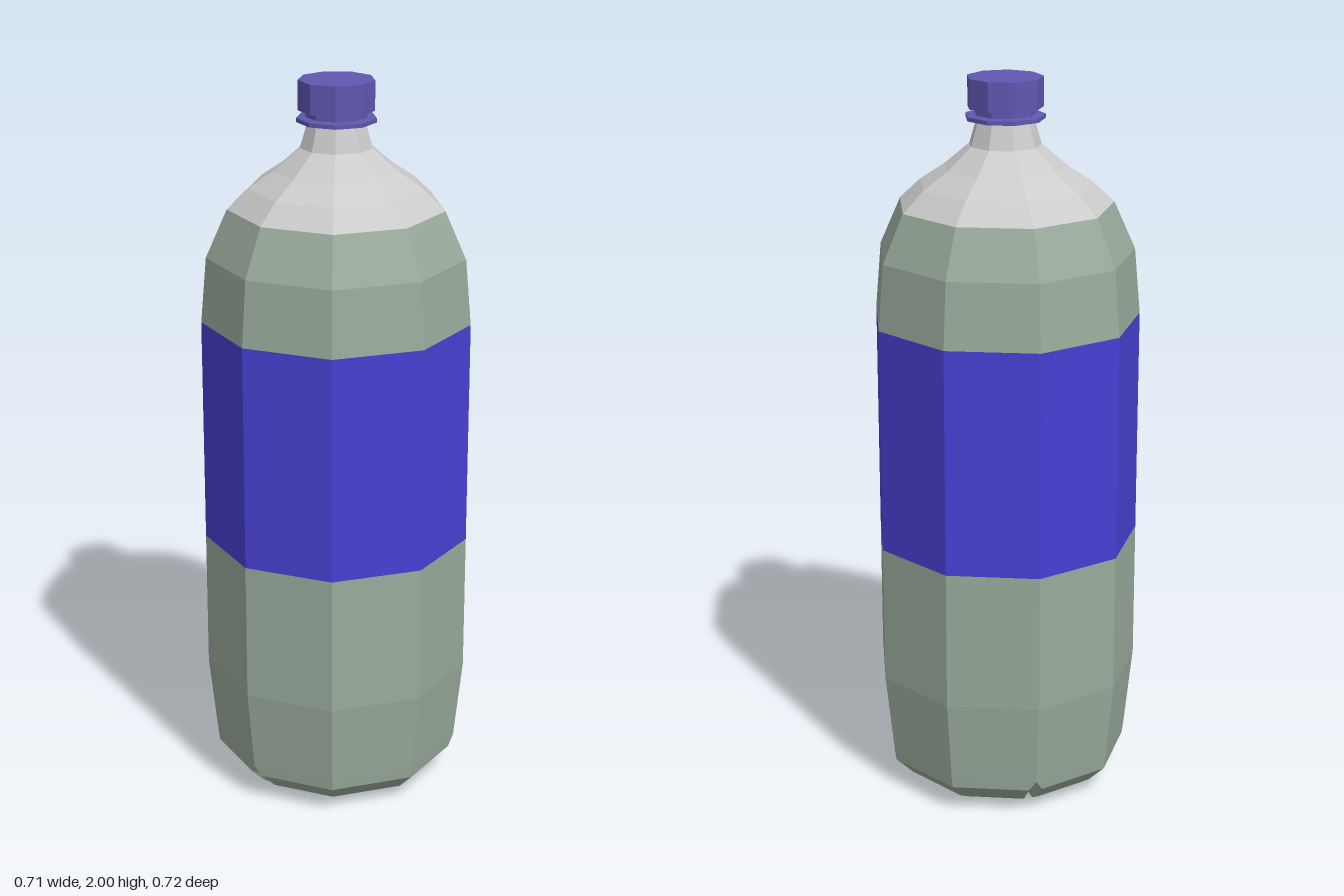
import * as THREE from 'three';

const SIDES = 9, START = -Math.PI / 2, STEP = (Math.PI * 2) / SIDES;

const mat = (color) => new THREE.MeshStandardMaterial({ color, flatShading: true, side: THREE.DoubleSide });

// Nine-sided turned part from [radius, y] pairs, listed bottom to top
function turned(name, profile, material) {
  const pts = profile.map(([r, y]) => new THREE.Vector2(r, y));
  const mesh = new THREE.Mesh(new THREE.LatheGeometry(pts, SIDES, START, Math.PI * 2), material);
  mesh.name = name;
  return mesh;
}

// Base with three grooves running from the centre up to the side corners
function groovedBase(material) {
  const half = 0.02, depth = 0.03;
  const corner = (k, r, y) => new THREE.Vector3(r * Math.sin(START + k * STEP), y, r * Math.cos(START + k * STEP));
  // [radius, y, groove half width, groove inset, groove rise]
  const levels = [
    [0.235, 0, half, 0.01, depth],
    [0.29, 0.03, half, 0.025, 0.02],
    [0.34, 0.08, half, 0.03, 0.008],
    [0.344, 0.11, 0, 0, 0],
  ];
  const rows = [[]];
  // Innermost row: each sector ends in one apex, grooves meet in the middle
  for (let s = 0; s < 3; s++) {
    const apex = corner(s * 3 + 1.5, half / Math.sin(Math.PI / 3), 0);
    rows[0].push(new THREE.Vector3(0, depth, 0), apex, apex, apex, apex);
  }
  for (const [r, y, w, inset, rise] of levels) {
    const row = [], t = w / (2 * r * Math.sin(STEP / 2));
    for (let s = 0; s < 3; s++) {
      const [a, b, c, d] = [0, 1, 2, 3].map((i) => corner(s * 3 + i, r, y));
      row.push(corner(s * 3, r - inset, y + rise), a.clone().lerp(b, t), b, c, d.clone().lerp(c, t));
    }
    rows.push(row);
  }
  const tris = [];
  for (let i = 0; i < rows.length - 1; i++) {
    const n = rows[i].length;
    for (let j = 0; j < n; j++) {
      const a = rows[i][j], b = rows[i][(j + 1) % n];
      const c = rows[i + 1][(j + 1) % n], d = rows[i + 1][j];
      if (!a.equals(b)) tris.push(a, b, d);
      if (!c.equals(d)) tris.push(b, c, d);
    }
  }
  const geo = new THREE.BufferGeometry().setFromPoints(tris);
  geo.computeVertexNormals();
  const mesh = new THREE.Mesh(geo, material);
  mesh.name = 'groovedBase';
  return mesh;
}

export function createModel() {
  const green = mat(0x9aab9c), blue = mat(0x4840d4), capBlue = mat(0x5f58b0), grey = mat(0xcccccc);
  const bottle = new THREE.Group();
  bottle.name = 'bottle';
  bottle.add(
    groovedBase(green),
    turned('lowerBody', [[0.344, 0.11], [0.368, 0.34], [0.368, 0.725]], green),
    turned('label', [[0.368, 0.725], [0.368, 1.35]], blue),
    turned('upperBody', [[0.368, 1.35], [0.352, 1.53], [0.294, 1.66]], green),
    // Shoulder, neck and the underside of the collar
    turned('shoulderAndNeck', [
      [0.294, 1.66], [0.236, 1.715], [0.168, 1.76], [0.098, 1.82], [0.078, 1.887], [0.108, 1.889],
    ], grey),
    turned('collar', [[0.108, 1.889], [0.108, 1.9], [0.082, 1.902], [0.082, 1.92]], capBlue),
    turned('cap', [[0.082, 1.92], [0.103, 1.92], [0.103, 2], [0, 2]], capBlue),
  );
  // An odd number of sides puts the axis slightly off the middle of the outline
  bottle.children.forEach((part) => { part.position.x = 0.011; });
  return bottle;
}
